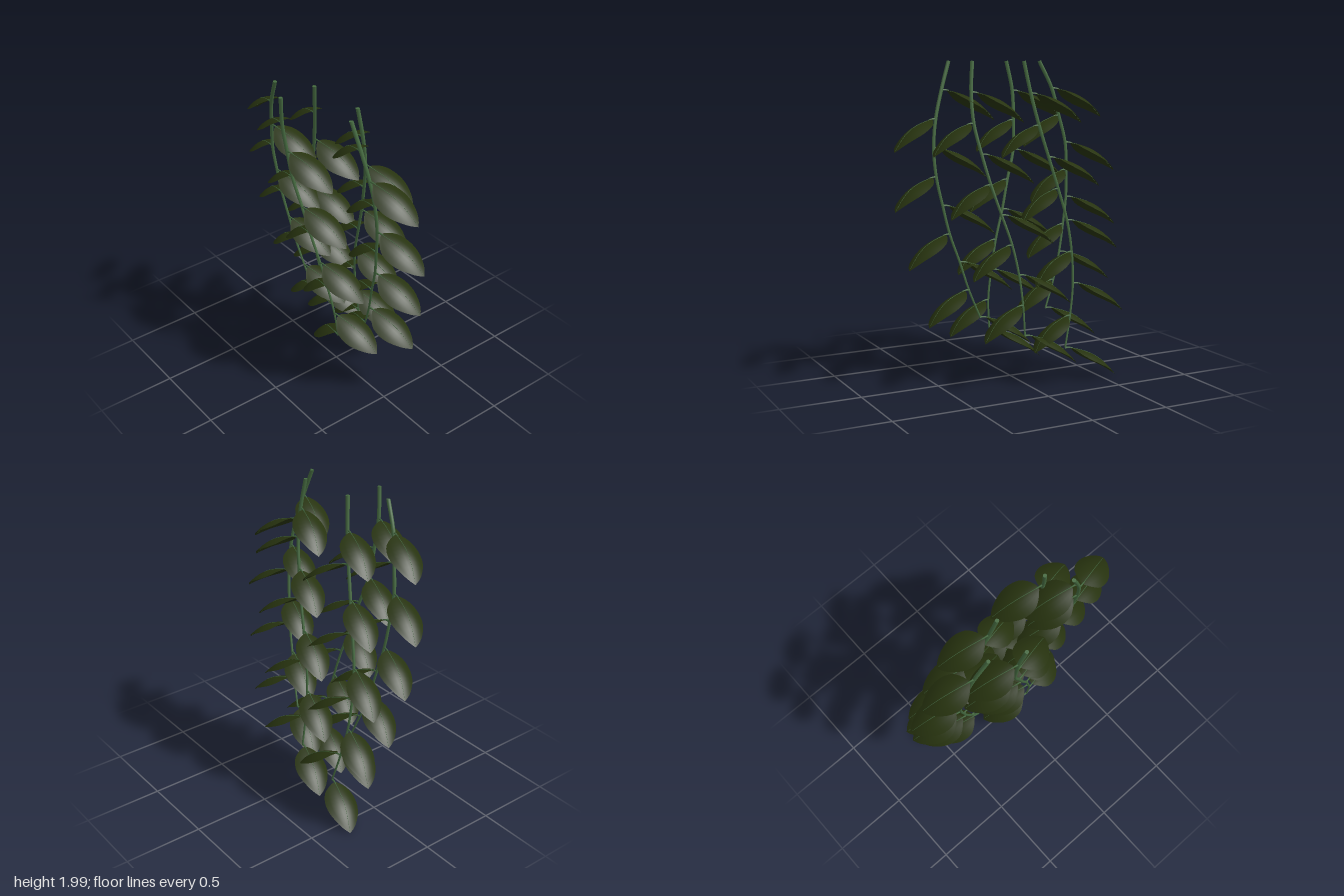
import * as THREE from 'three';

const stemGreen = new THREE.MeshStandardMaterial({ color: 0x456a40, side: THREE.DoubleSide });
const leafGreen = new THREE.MeshStandardMaterial({ color: 0x27330f, side: THREE.DoubleSide });
stemGreen.name = 'stem green';
leafGreen.name = 'leaf green';

const LENGTH = 0.345, HALF_WIDTH = 0.106, PETIOLE = 0.035;
const LEAN = 0.135; // how far vines drift back per unit of drop

// Each vine: end height, top z, and x at ten evenly spaced heights from the top
const VINES = [
  { end: 0.43, z: 0.205, x: [-0.32, -0.40, -0.44, -0.475, -0.47, -0.455, -0.42, -0.38, -0.325, -0.255] },
  { end: 0.31, z: 0.30, x: [-0.13, -0.16, -0.155, -0.14, -0.085, -0.035, 0.025, 0.07, 0.105, 0.11] },
  { end: 0.20, z: 0.06, x: [-0.13, -0.165, -0.21, -0.265, -0.32, -0.37, -0.39, -0.385, -0.35, -0.30] },
  { end: 0.315, z: 0.035, x: [0.24, 0.26, 0.255, 0.215, 0.165, 0.105, 0.045, 0.01, -0.005, -0.005] },
  { end: 0.43, z: 0.16, x: [0.34, 0.40, 0.45, 0.475, 0.47, 0.44, 0.405, 0.35, 0.30, 0.235] },
];

// Tube whose radius shrinks from r0 to r1
function taperedTube(curve, segments, r0, r1, sides) {
  const geo = new THREE.TubeGeometry(curve, segments, 1, sides);
  const pos = geo.attributes.position;
  const v = new THREE.Vector3();
  for (let i = 0; i <= segments; i++) {
    const centre = curve.getPointAt(i / segments);
    const r = THREE.MathUtils.lerp(r0, r1, i / segments);
    for (let j = 0; j <= sides; j++) {
      const k = i * (sides + 1) + j;
      v.fromBufferAttribute(pos, k).sub(centre).multiplyScalar(r).add(centre);
      pos.setXYZ(k, v.x, v.y, v.z);
    }
  }
  return geo;
}

// Leaf outline: half width along the blade, from blunt base to pointed tip
const outline = new THREE.SplineCurve([
  [0, 0.12], [0.08, 0.5], [0.22, 0.87], [0.42, 1], [0.62, 0.89], [0.82, 0.56], [0.93, 0.27], [1, 0],
].map(([s, w]) => new THREE.Vector2(s, w)));

const arch = (s) => 0.038 * Math.sin(Math.PI * s);

// Turn a shape lying along +x so it droops outward and sweeps back
function pose(geo) {
  return geo.rotateY(0.28).rotateZ(-0.592).translate(PETIOLE, -0.002, -0.006);
}

// Blade: a sheet arched along its length, with edges curling down
function bladeGeometry() {
  const geo = new THREE.PlaneGeometry(1, 1, 8, 16);
  const pos = geo.attributes.position;
  for (let i = 0; i < pos.count; i++) {
    const p = outline.getPoint(0.5 - pos.getY(i));
    const across = pos.getX(i) * 2 * Math.max(p.y, 0);
    pos.setXYZ(i, p.x * LENGTH, arch(p.x) - 0.04 * across * across, -across * HALF_WIDTH);
  }
  // Reverse triangles if needed so the upper side is the front
  geo.computeVertexNormals();
  if (geo.attributes.normal.getY(40) < 0) {
    const idx = geo.index;
    for (let i = 0; i < idx.count; i += 3) {
      const a = idx.getX(i);
      idx.setX(i, idx.getX(i + 1));
      idx.setX(i + 1, a);
    }
    geo.computeVertexNormals();
  }
  return pose(geo);
}

// Midrib: a fine raised line along the blade
function midribGeometry() {
  const points = [];
  for (let i = 0; i <= 8; i++) {
    const s = (i / 8) * 0.96;
    points.push(new THREE.Vector3(s * LENGTH, arch(s), 0));
  }
  return pose(taperedTube(new THREE.CatmullRomCurve3(points), 12, 0.0025, 0.001, 4));
}

// Short stalk joining blade to vine
function petioleGeometry() {
  const curve = new THREE.CatmullRomCurve3([
    new THREE.Vector3(0, 0, 0),
    new THREE.Vector3(PETIOLE * 0.6, 0.001, -0.003),
    new THREE.Vector3(PETIOLE + 0.012, -0.004, -0.009),
  ]);
  return taperedTube(curve, 4, 0.0065, 0.004, 5);
}

export function createModel() {
  const model = new THREE.Group();
  model.name = 'hangingVines';
  const add = (parent, name, geo, material) => {
    const mesh = new THREE.Mesh(geo, material);
    mesh.name = name;
    parent.add(mesh);
    return mesh;
  };
  const blade = bladeGeometry(), midrib = midribGeometry(), petiole = petioleGeometry();

  VINES.forEach(({ end, z, x }) => {
    const vine = new THREE.Group();
    vine.name = 'vine';
    model.add(vine);

    const points = x.map((px, i) => {
      const drop = (2 - end) * i / 9;
      return new THREE.Vector3(px, 2 - drop, z - LEAN * drop);
    });
    add(vine, 'stem', taperedTube(new THREE.CatmullRomCurve3(points), 45, 0.0125, 0.006, 7), stemGreen);
    const cap = add(vine, 'stemTop', new THREE.CircleGeometry(0.0125, 7).rotateX(-Math.PI / 2), stemGreen);
    cap.position.copy(points[0]);

    // Leaves alternate sides down the vine, the last one at its end
    for (let i = 1; i <= 9; i++) {
      const leaf = new THREE.Group();
      leaf.name = 'leaf';
      leaf.position.copy(points[i]);
      leaf.scale.x = i % 2 ? -1 : 1;
      add(leaf, 'blade', blade, leafGreen);
      add(leaf, 'midrib', midrib, stemGreen);
      add(leaf, 'petiole', petiole, stemGreen);
      vine.add(leaf);
    }
  });
  return model;
}
